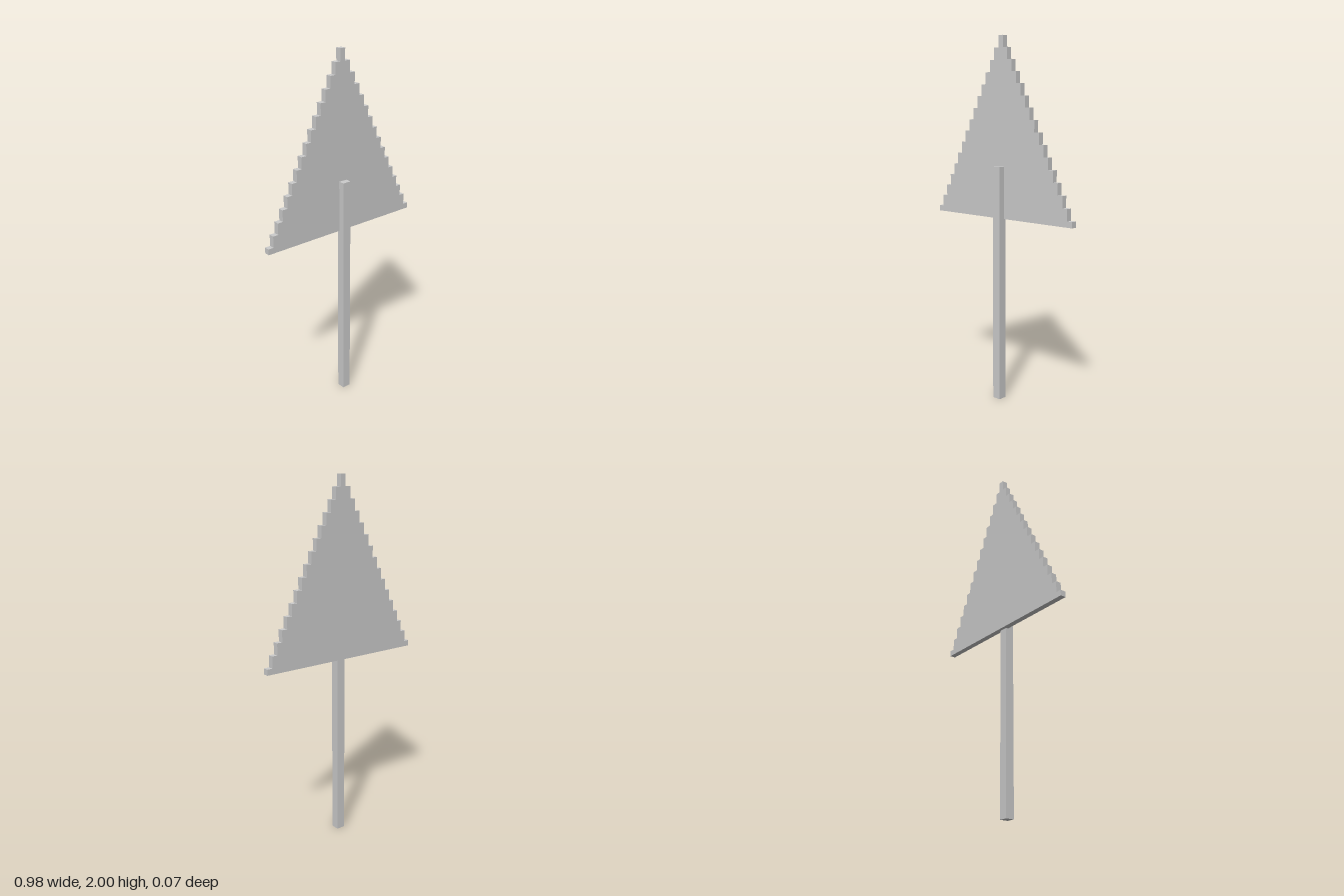
import * as THREE from 'three';

export function createModel() {
  const group = new THREE.Group();
  const material = new THREE.MeshStandardMaterial({ color: 0xcccccc, flatShading: true });

  // Stepped triangular panel: 16 tiers, the lowest one half as tall
  const tiers = 16, stepX = 0.0315, stepY = 0.063, bottom = 1.023, firstTop = 1.055;
  const right = [];
  for (let i = 0; i < tiers; i++) {
    const halfWidth = (tiers - i - 0.5) * stepX;
    const low = i === 0 ? bottom : firstTop + (i - 1) * stepY;
    right.push(new THREE.Vector2(halfWidth, low), new THREE.Vector2(halfWidth, firstTop + i * stepY));
  }
  const left = right.map((p) => new THREE.Vector2(-p.x, p.y)).reverse();
  const panelGeometry = new THREE.ExtrudeGeometry(new THREE.Shape([...right, ...left]), {
    depth: 0.0315,
    bevelEnabled: false,
  });
  panelGeometry.translate(0, 0, -0.033);
  const panel = new THREE.Mesh(panelGeometry, material);
  panel.name = 'steppedPanel';
  group.add(panel);

  // Square post, its back partly sunk into the panel
  const postHeight = 1.308;
  const post = new THREE.Mesh(new THREE.BoxGeometry(0.049, postHeight, 0.048), material);
  post.position.set(0, postHeight / 2, 0.009);
  post.name = 'post';
  group.add(post);

  return group;
}
